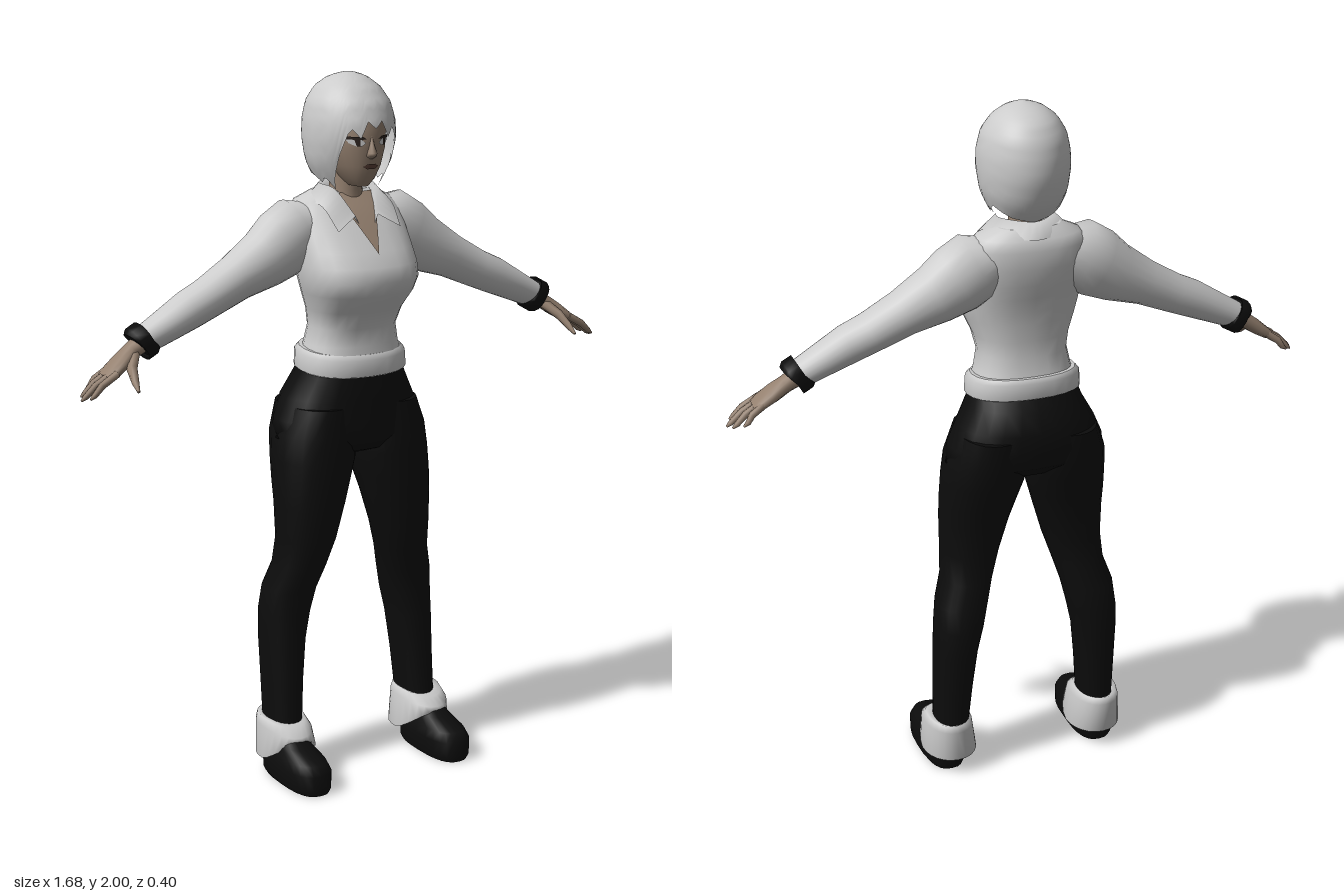
import * as THREE from 'three';

const mat = (color, side = THREE.FrontSide) => new THREE.MeshStandardMaterial({ color, side });
const CLOTH = mat(0xcccccc), CLOTH2 = mat(0xcccccc, THREE.DoubleSide);
const SKIN = mat(0x94806f), SKIN2 = mat(0x94806f, THREE.DoubleSide);
const BLACK = mat(0x0c0c0c), EYE = mat(0xe8e8e8, THREE.DoubleSide);
const DARK = mat(0x2a211d, THREE.DoubleSide), LIP = mat(0x5e4339, THREE.DoubleSide);

const V = (x, y, z) => new THREE.Vector3(x, y, z);
const spow = (v, p) => Math.sign(v) * Math.abs(v) ** p;

// Linear lookup in a table of rows sorted by their first column
function lookup(keys, t) {
  const up = keys[0][0] < keys[keys.length - 1][0];
  const k = up ? keys : [...keys].reverse();
  if (t <= k[0][0]) return k[0];
  for (let i = 1; i < k.length; i++) {
    if (t <= k[i][0]) {
      const f = (t - k[i - 1][0]) / (k[i][0] - k[i - 1][0]);
      return k[i].map((v, j) => k[i - 1][j] + (v - k[i - 1][j]) * f);
    }
  }
  return k[k.length - 1];
}

// Skin over point rows; closed rows wrap round, capped solids are turned outward
function loft(rows, { closed = true, caps = true } = {}) {
  const n = rows[0].length, pos = [], idx = [];
  rows.flat().forEach(p => pos.push(p.x, p.y, p.z));
  for (let r = 0; r < rows.length - 1; r++) {
    for (let i = 0; i < (closed ? n : n - 1); i++) {
      const a = r * n + i, b = r * n + (i + 1) % n;
      idx.push(a, b, a + n, b, b + n, a + n);
    }
  }
  if (closed && caps) {
    [rows[0], rows[rows.length - 1]].forEach((row, end) => {
      const base = pos.length / 3, c = V(0, 0, 0);
      row.forEach(p => { pos.push(p.x, p.y, p.z); c.addScaledVector(p, 1 / n); });
      pos.push(c.x, c.y, c.z);
      for (let i = 0; i < n; i++) {
        const a = base + i, b = base + (i + 1) % n;
        idx.push(...(end ? [a, b, base + n] : [b, a, base + n]));
      }
    });
    const at = i => V(pos[3 * i], pos[3 * i + 1], pos[3 * i + 2]);
    let volume = 0;
    for (let i = 0; i < idx.length; i += 3) volume += at(idx[i]).dot(at(idx[i + 1]).cross(at(idx[i + 2])));
    if (volume < 0) idx.reverse();
  }
  const g = new THREE.BufferGeometry();
  g.setAttribute('position', new THREE.Float32BufferAttribute(pos, 3));
  g.setIndex(idx);
  g.computeVertexNormals();
  return g;
}

// Level ring from [y, x0, x1, zBack, zFront]; p below 1 squares it off
function ring([y, x0, x1, z0, z1], s = 1, p = 1, n = 24) {
  return Array.from({ length: n }, (_, i) => {
    const a = i / n * Math.PI * 2;
    return V(s * ((x0 + x1) / 2 + (x1 - x0) / 2 * spow(Math.cos(a), p)), y,
      (z0 + z1) / 2 + (z1 - z0) / 2 * spow(Math.sin(a), p));
  });
}
const stack = (keys, s = 1, p = 1) => loft(keys.map(k => ring(k, s, p)));
const sym = keys => keys.map(([y, w, z0, z1]) => [y, -w, w, z0, z1]);

// Limb through [x, y, z, height radius, depth radius]
function limb(keys, s = 1, n = 16, p = 1) {
  const c = keys.map(k => V(k[0], k[1], k[2]));
  return loft(keys.map((k, r) => {
    const t = c[Math.min(r + 1, c.length - 1)].clone().sub(c[Math.max(r - 1, 0)]).normalize();
    const u = V(0, 0, 1).cross(t).normalize(), v = t.clone().cross(u);
    return Array.from({ length: n }, (_, i) => {
      const a = i / n * Math.PI * 2;
      const q = c[r].clone().addScaledVector(u, k[3] * spow(Math.cos(a), p)).addScaledVector(v, k[4] * spow(Math.sin(a), p));
      q.x *= s;
      return q;
    });
  }));
}

// Thin patch lying on the front of a stacked body; rows are [y, x0, x1]
function patch(keys, rows, p, lift, s = 1) {
  return loft(rows.map(([y, x0, x1]) => Array.from({ length: 7 }, (_, i) => {
    const x = x0 + (x1 - x0) * i / 6, [, , w, z0, z1] = lookup(keys, y);
    const c = Math.min(1, Math.abs(x) / w) ** (1 / p);
    return V(s * x, y, (z0 + z1) / 2 + (z1 - z0) / 2 * Math.sqrt(1 - c * c) ** p + lift);
  })), { closed: false });
}

const TORSO = sym([[1.2, .15, -.15, .085], [1.25, .135, -.135, .075], [1.3, .125, -.125, .075], [1.35, .135, -.125, .1],
  [1.4, .155, -.13, .14], [1.44, .167, -.135, .155], [1.48, .17, -.145, .142], [1.52, .17, -.155, .112],
  [1.57, .17, -.165, .072], [1.62, .165, -.165, .03], [1.65, .145, -.155, 0], [1.675, .09, -.13, -.03]]);
const HEAD = sym([[1.693, .022, -.03, .05], [1.715, .042, -.06, .067], [1.75, .062, -.08, .078], [1.8, .079, -.1, .084],
  [1.85, .085, -.12, .085], [1.92, .08, -.12, .065]]);
const HAIR = sym([[1.68, .075, -.115, .045], [1.72, .1, -.15, .065], [1.76, .117, -.17, .085], [1.82, .125, -.185, .107],
  [1.87, .124, -.184, .104], [1.92, .113, -.172, .086], [1.96, .088, -.145, .052], [1.985, .055, -.105, .015],
  [1.996, .028, -.07, -.015], [2, .001, -.041, -.039]]);
// Hair hem height by degrees away from the front
const HEM = [[0, 1.855], [10, 1.875], [20, 1.83], [32, 1.86], [42, 1.81], [50, 1.74], [60, 1.685], [72, 1.72],
  [84, 1.70], [110, 1.735], [140, 1.705], [180, 1.69]];

export function createModel() {
  const model = new THREE.Group();
  const add = (name, geometry, material) => {
    const m = new THREE.Mesh(geometry, material);
    m.name = name;
    model.add(m);
  };

  // Shirt body, tilted hem band and open neckline
  add('shirt', stack(TORSO, 1, .82), CLOTH);
  const hem = stack(sym([[1.165, .155, -.15, .085], [1.17, .163, -.16, .094], [1.215, .16, -.16, .092], [1.228, .148, -.15, .08]]), 1, .88);
  const hp = hem.attributes.position;
  for (let i = 0; i < hp.count; i++) hp.setY(i, hp.getY(i) - hp.getZ(i) * .1 + .008);
  hem.computeVertexNormals();
  add('shirtHem', hem, CLOTH);
  add('neckline', patch(TORSO, [1.515, 1.55, 1.58, 1.61, 1.64, 1.67].map(y => [y, (1.515 - y) * .42, (y - 1.515) * .42]), .82, .007), SKIN2);
  add('neck', stack(sym([[1.58, .055, -.12, .0], [1.64, .05, -.115, .0], [1.68, .045, -.105, -.005], [1.76, .045, -.1, 0]])), SKIN);

  // Folded collar: inner stand, fold and outer fall
  const edge = pts => new THREE.CatmullRomCurve3(
    [...pts.map(p => V(...p)), ...pts.slice(0, -1).reverse().map(p => V(-p[0], p[1], p[2]))]).getPoints(32);
  add('collar', loft([
    edge([[.025, 1.59, .06], [.05, 1.64, -.005], [.058, 1.65, -.07], [0, 1.65, -.125]]),
    edge([[.036, 1.615, .058], [.066, 1.685, -.005], [.077, 1.695, -.07], [0, 1.695, -.135]]),
    edge([[.1, 1.578, .074], [.112, 1.64, .005], [.118, 1.65, -.08], [0, 1.652, -.162]]),
  ], { closed: false }), CLOTH2);

  // Head and face
  add('head', stack(HEAD, 1, .92), SKIN);
  add('nose', stack(sym([[1.772, .005, .07, .085], [1.78, .015, .06, .097], [1.788, .013, .06, .103], [1.81, .008, .06, .092], [1.835, .005, .06, .084]])), SKIN);
  add('mouth', patch(HEAD, [[1.744, -.012, .012], [1.751, -.024, .024], [1.758, -.012, .012]], .92, .004), LIP);
  for (const s of [1, -1]) {
    add('eye', patch(HEAD, [[1.808, .03, .045], [1.816, .02, .06], [1.826, .032, .066]], .92, .004, s), EYE);
    add('iris', patch(HEAD, [[1.808, .036, .044], [1.826, .036, .05]], .92, .006, s), DARK);
    add('brow', patch(HEAD, [[1.826, .018, .068], [1.834, .03, .072]], .92, .006, s), DARK);
  }

  // Bobbed hair shell: each column runs from the crown to the hem
  const cols = 72, hair = [];
  for (let r = 0; r <= 18; r++) {
    hair.push(Array.from({ length: cols }, (_, i) => {
      const a = i / cols * Math.PI * 2, deg = Math.min(a, Math.PI * 2 - a) * 180 / Math.PI;
      const low = lookup(HEM, deg)[1], y = 2 - (2 - low) * (r / 18) ** 1.6;
      const [, , w, z0, z1] = lookup(HAIR, y);
      return V(w * Math.sin(a), y, (z0 + z1) / 2 + (z1 - z0) / 2 * Math.cos(a));
    }));
  }
  add('hair', loft(hair, { caps: false }), CLOTH2);

  // Trousers seat
  add('trouserSeat', stack(sym([[1.2, .15, -.145, .08], [1.16, .162, -.175, .088], [1.1, .195, -.198, .088], [1.04, .222, -.194, .087],
    [.99, .232, -.178, .085], [.95, .15, -.13, .06], [.935, .06, -.09, .02]]), 1, .88), BLACK);

  for (const s of [1, -1]) {
    // Trouser leg
    add('trouserLeg', stack([[1.08, .015, .2, -.19, .08], [1, .002, .23, -.182, .085], [.93, .004, .238, -.16, .085], [.86, .025, .241, -.138, .083],
      [.8, .043, .241, -.12, .08], [.7, .072, .24, -.105, .07], [.62, .098, .245, -.115, .052], [.55, .118, .268, -.133, .03],
      [.48, .134, .276, -.14, .02], [.4, .152, .278, -.135, .02], [.28, .166, .277, -.122, .024], [.13, .18, .275, -.11, .035]], s, .9), BLACK);

    // Turned-up cuff, dipping at the top front and lifted at the bottom front
    const cuff = [[.165, .185, .272, -.105, .03, -.01], [.172, .172, .294, -.12, .055, -.025], [.15, .162, .302, -.126, .085, -.015],
      [.055, .148, .308, -.12, .085, .06], [.06, .165, .295, -.105, .07, .06]].map(k => {
      const row = ring(k, s, .95);
      row.forEach(v => { v.y += k[5] * Math.max(0, (v.z + .02) / .1) ** 1.5; });
      return row;
    });
    add('cuff', loft(cuff, { caps: false }), CLOTH2);

    // Shoe
    add('shoe', stack([[0, .18, .29, -.075, .198], [.015, .172, .3, -.08, .203], [.06, .17, .302, -.08, .202], [.085, .18, .292, -.075, .185],
      [.108, .19, .282, -.07, .11], [.15, .2, .27, -.06, .04]], s, .75), BLACK);

    // Sleeve and wristband
    add('sleeve', limb([[.09, 1.585, -.07, .06, .07], [.15, 1.567, -.07, .098, .085], [.2, 1.535, -.068, .098, .083], [.26, 1.498, -.063, .083, .077],
      [.35, 1.455, -.058, .064, .067], [.44, 1.41, -.052, .056, .061], [.5, 1.384, -.048, .054, .058], [.57, 1.349, -.046, .046, .052],
      [.645, 1.312, -.045, .038, .043]], s, 20), CLOTH);
    add('wristband', limb([[.628, 1.323, -.045, .044, .046], [.629, 1.322, -.045, .05, .051],
      [.656, 1.307, -.045, .05, .051], [.657, 1.306, -.045, .043, .045]], s, 16, .85), BLACK);

    // Hand: palm, four fingers and thumb
    add('palm', limb([[.64, 1.312, -.045, .026, .03], [.675, 1.292, -.043, .022, .028], [.71, 1.267, -.035, .021, .038],
      [.745, 1.243, -.028, .016, .042], [.762, 1.232, -.027, .01, .038]], s, 12, .9), SKIN);
    [[-.06, -.068, .8, 1.195], [-.038, -.043, .825, 1.184], [-.016, -.016, .836, 1.179], [.006, .012, .822, 1.187]].forEach(([z0, z1, x, y]) =>
      add('finger', limb([[.74, 1.246, z0, .011, .01], [(.75 + x) / 2, (1.246 + y) / 2 + .003, (z0 + z1) / 2, .0105, .01],
        [x - .012, y + .009, z1, .008, .008], [x, y, z1, .003, .003]], s, 8), SKIN));
    add('thumb', limb([[.675, 1.285, -.03, .016, .018], [.7, 1.255, .012, .014, .015], [.708, 1.228, .048, .01, .011],
      [.712, 1.207, .076, .004, .004]], s, 8), SKIN);
  }
  return model;
}
